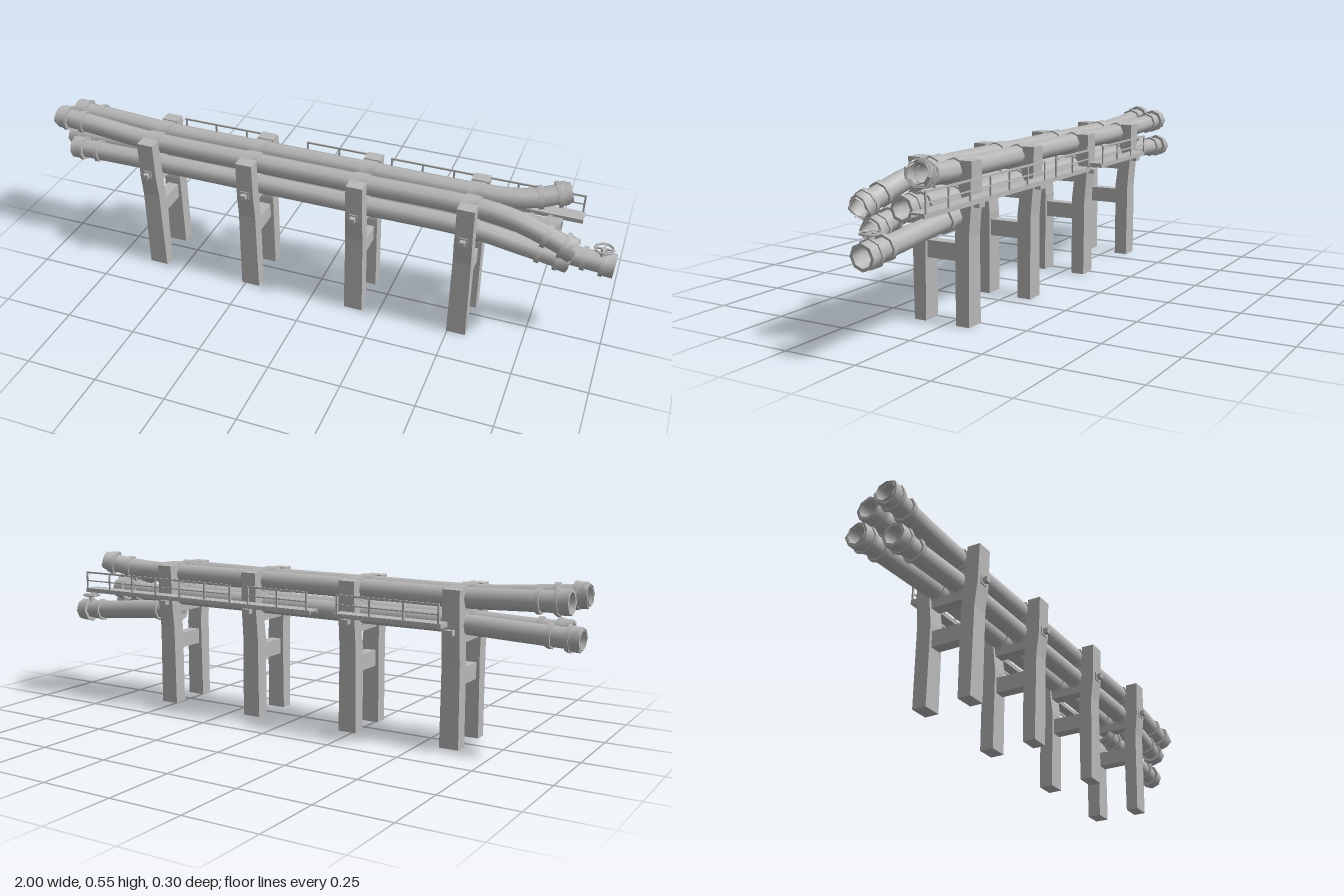
import * as THREE from 'three';
import { toCreasedNormals } from 'three/addons/utils/BufferGeometryUtils.js';

const grey = new THREE.MeshStandardMaterial({ color: 0xb8b8b8, side: THREE.DoubleSide });
grey.name = 'weathered grey';

const UP = new THREE.Vector3(0, 1, 0);
const trestleX = [-0.6, -0.23, 0.16, 0.53];

function add(parent, name, geometry, x = 0, y = 0, z = 0) {
  const mesh = new THREE.Mesh(geometry, grey);
  mesh.name = name;
  mesh.position.set(x, y, z);
  parent.add(mesh);
  return mesh;
}

const box = (parent, name, w, h, d, x, y, z) => add(parent, name, new THREE.BoxGeometry(w, h, d), x, y, z);

// Hollow octagonal ring; a jagged ring has a torn outer rim
function ringGeometry(outer, inner, length, jagged = 0) {
  const h = length / 2;
  const profile = [[inner, -h], [outer, -h], [outer, h], [inner, h], [inner, -h]];
  const geo = new THREE.LatheGeometry(profile.map(([r, y]) => new THREE.Vector2(r, y)), 8);
  const pos = geo.attributes.position;
  for (let i = 0; i < pos.count; i++) {
    const side = Math.floor(i / profile.length) % 8;
    if (pos.getY(i) > h - 1e-5) pos.setY(i, h - jagged * ((side * 5) % 4) / 3);
  }
  return toCreasedNormals(geo, 0.9);
}

// Places a ring across a pipe, at distance u along its curve
function ringAt(parent, name, curve, u, geometry, reverse = false) {
  const p = curve.getPointAt(u);
  const t = curve.getTangentAt(u);
  if (reverse) t.negate();
  const mesh = add(parent, name, geometry, p.x, p.y, p.z);
  mesh.quaternion.setFromUnitVectors(UP, t);
}

// Pipe with couplings over the trestles and flanged open ends
function pipe(parent, name, points, r, startTorn, endTorn) {
  const g = new THREE.Group();
  g.name = name;
  parent.add(g);
  const curve = new THREE.CatmullRomCurve3(points.map(p => new THREE.Vector3(...p)));
  const length = curve.getLength();
  add(g, 'pipeBody', new THREE.TubeGeometry(curve, 48, r, 8, false));
  [[0, startTorn, true], [1, endTorn, false]].forEach(([end, torn, reverse]) => {
    const at = d => Math.abs(end - d / length);
    ringAt(g, 'endSocket', curve, at(0.022), ringGeometry(r + 0.007, r - 0.003, 0.044, torn), reverse);
    ringAt(g, 'endFlange', curve, at(0.04), ringGeometry(r + 0.011, r - 0.002, 0.012), reverse);
    ringAt(g, 'innerFlange', curve, at(0.1), ringGeometry(r + 0.007, r - 0.002, 0.016), reverse);
  });
  // Couplings: find the distance along the curve where x matches
  for (const x of trestleX) {
    if (x < points[0][0] + 0.15) continue;
    let lo = 0, hi = 1;
    for (let i = 0; i < 20; i++) {
      const mid = (lo + hi) / 2;
      if (curve.getPointAt(mid).x < x) lo = mid; else hi = mid;
    }
    ringAt(g, 'coupling', curve, lo, ringGeometry(r + 0.005, r - 0.002, 0.05));
  }
}

// Leg seen from the side as [z, y], extruded along x
function leg(parent, name, outline, width) {
  const shape = new THREE.Shape(outline.map(([z, y]) => new THREE.Vector2(-z, y)));
  const geo = new THREE.ExtrudeGeometry(shape, { depth: width, bevelEnabled: false });
  geo.translate(0, 0, -width / 2);
  geo.rotateY(Math.PI / 2);
  const pos = geo.attributes.position;
  for (let i = 0; i < pos.count; i++) pos.setX(i, pos.getX(i) * (1 - 0.25 * pos.getY(i)));
  geo.computeVertexNormals();
  add(parent, name, geo);
}

function trestle(parent, x) {
  const g = new THREE.Group();
  g.name = 'trestle';
  g.position.x = x;
  parent.add(g);
  leg(g, 'frontLeg', [[0.118, 0], [0.121, 0.3], [0.13, 0.38], [0.133, 0.512], [0.088, 0.512], [0.083, 0.4], [0.073, 0.28], [0.075, 0]], 0.066);
  leg(g, 'backLeg', [[-0.037, 0], [-0.036, 0.28], [-0.05, 0.4], [-0.055, 0.512], [-0.098, 0.512], [-0.095, 0.38], [-0.086, 0.28], [-0.085, 0]], 0.066);
  box(g, 'lowerCrossbeam', 0.04, 0.055, 0.12, 0, 0.228, 0.019);
  box(g, 'pipeCradle', 0.04, 0.03, 0.14, 0, 0.352, 0.019);
  box(g, 'middleCradle', 0.03, 0.014, 0.15, 0, 0.438, 0.017);
  // Bolts through the legs
  box(g, 'frontBolt', 0.018, 0.016, 0.022, 0, 0.392, 0.139);
  box(g, 'frontWasher', 0.03, 0.028, 0.006, 0, 0.392, 0.131);
  box(g, 'backBolt', 0.03, 0.016, 0.022, 0, 0.379, -0.104);
}

// Walkway plank with a railing on its outer edge
function walkway(parent, x0, x1, rails) {
  const g = new THREE.Group();
  g.name = 'walkway';
  parent.add(g);
  const w = x1 - x0;
  box(g, 'deck', w, 0.006, 0.05, (x0 + x1) / 2, 0.408, -0.122);
  for (const z of [-0.1, -0.145]) box(g, 'deckBeam', w, 0.012, 0.005, (x0 + x1) / 2, 0.402, z);
  for (const [a, b] of rails) {
    box(g, 'topRail', b - a, 0.006, 0.005, (a + b) / 2, 0.471, -0.147);
    box(g, 'middleRail', b - a, 0.004, 0.004, (a + b) / 2, 0.44, -0.147);
    const n = Math.max(2, Math.round((b - a) / 0.12));
    for (let i = 0; i <= n; i++) {
      box(g, 'railPost', 0.006, 0.066, 0.005, a + 0.003 + (b - a - 0.006) * i / n, 0.441, -0.147);
    }
  }
  for (const x of trestleX) {
    if (x > x0 - 0.05 && x < x1) box(g, 'walkwayBracket', 0.03, 0.01, 0.06, Math.max(x, x0 + 0.015), 0.4, -0.115);
  }
}

export function createModel() {
  const model = new THREE.Group();
  model.name = 'pipelineTrestle';
  trestleX.forEach(x => trestle(model, x));

  pipe(model, 'upperFrontPipe', [[-0.99, 0.508, 0.047], [-0.85, 0.497, 0.045], [-0.65, 0.482, 0.05], [-0.23, 0.48, 0.052],
    [0.16, 0.48, 0.052], [0.53, 0.48, 0.052], [0.66, 0.467, 0.056], [0.78, 0.435, 0.066], [0.875, 0.405, 0.076]], 0.034, 0.012, 0.015);
  pipe(model, 'upperBackPipe', [[-0.96, 0.495, -0.035], [-0.8, 0.488, -0.035], [-0.6, 0.48, -0.03], [-0.23, 0.48, -0.03],
    [0.16, 0.48, -0.03], [0.53, 0.48, -0.03], [0.66, 0.484, -0.038], [0.74, 0.495, -0.06], [0.82, 0.514, -0.09]], 0.034, 0, 0.025);
  pipe(model, 'lowerFrontPipe', [[-0.94, 0.39, 0.047], [-0.8, 0.392, 0.048], [-0.6, 0.397, 0.052], [-0.23, 0.397, 0.052],
    [0.16, 0.397, 0.052], [0.53, 0.395, 0.052], [0.7, 0.37, 0.05], [0.86, 0.341, 0.045]], 0.033, 0, 0.012);
  pipe(model, 'lowerBackPipe', [[-1, 0.385, -0.037], [-0.8, 0.391, -0.033], [-0.6, 0.397, -0.03], [-0.23, 0.397, -0.03],
    [0.16, 0.397, -0.03], [0.53, 0.397, -0.03], [0.81, 0.403, -0.026]], 0.033, 0.008, 0);
  pipe(model, 'outletPipe', [[0.51, 0.343, -0.03], [0.7, 0.329, -0.031], [0.85, 0.314, -0.031], [0.997, 0.303, -0.032]], 0.034, 0, 0);

  // Valve on top of the outlet
  const valve = new THREE.Group();
  valve.name = 'outletValve';
  valve.position.set(0.955, 0, -0.031);
  model.add(valve);
  add(valve, 'valveStem', new THREE.CylinderGeometry(0.009, 0.014, 0.04, 8), 0, 0.345, 0);
  add(valve, 'valveWheel', new THREE.TorusGeometry(0.03, 0.004, 5, 10).rotateX(Math.PI / 2), 0, 0.363, 0);
  box(valve, 'wheelSpoke', 0.06, 0.005, 0.007, 0, 0.363, 0);
  box(valve, 'wheelSpoke', 0.007, 0.005, 0.06, 0, 0.363, 0);

  walkway(model, -0.59, -0.21, [[-0.585, -0.22]]);
  walkway(model, -0.12, 0.87, [[-0.11, 0.13], [0.2, 0.865]]);
  return model;
}
